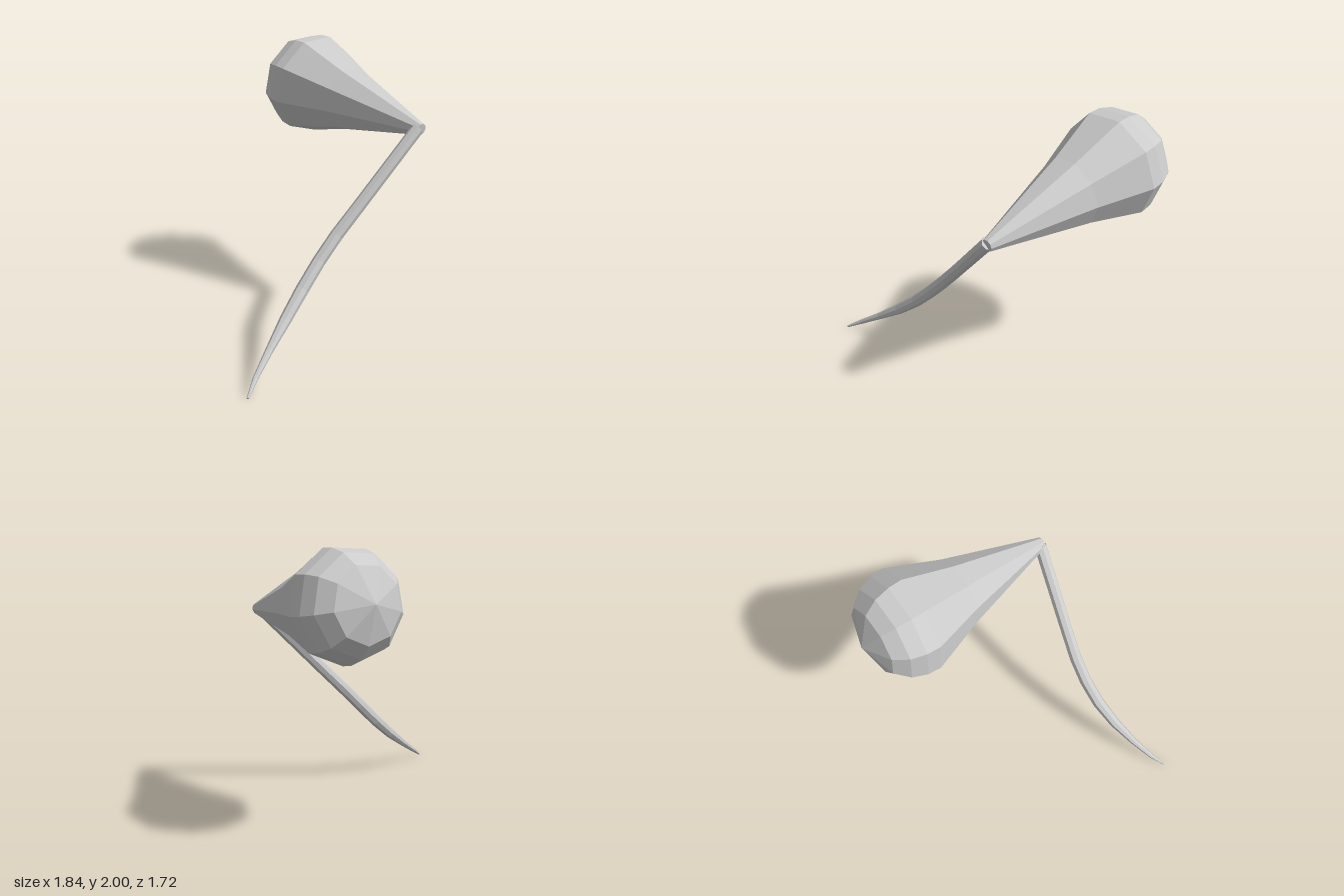
import * as THREE from 'three';

const V = (x, y, z) => new THREE.Vector3(x, y, z);

// Faceted loft: rings are [centre, radius]; both ends close to a point.
function loft(rings, sides, ref, phase) {
  const n = rings.length;
  const pos = [];
  const index = [];
  const add = (p) => pos.push(p.x, p.y, p.z);
  rings.forEach(([c, r], i) => {
    const t = rings[Math.min(i + 1, n - 1)][0].clone().sub(rings[Math.max(i - 1, 0)][0]).normalize();
    const u = ref.clone().addScaledVector(t, -ref.dot(t)).normalize();
    const v = t.clone().cross(u);
    for (let j = 0; j < sides; j++) {
      const a = phase + (j / sides) * Math.PI * 2;
      add(c.clone().addScaledVector(u, r * Math.cos(a)).addScaledVector(v, r * Math.sin(a)));
    }
  });
  for (let i = 0; i < n - 1; i++) {
    for (let j = 0; j < sides; j++) {
      const k = (j + 1) % sides;
      const a = i * sides + j, b = i * sides + k;
      index.push(a, b, b + sides, a, b + sides, a + sides);
    }
  }
  // end caps
  const last = (n - 1) * sides;
  add(rings[0][0]);
  add(rings[n - 1][0]);
  for (let j = 0; j < sides; j++) {
    const k = (j + 1) % sides;
    index.push(n * sides, k, j, n * sides + 1, last + j, last + k);
  }
  const geo = new THREE.BufferGeometry();
  geo.setAttribute('position', new THREE.Float32BufferAttribute(pos, 3));
  geo.setIndex(index);
  geo.computeVertexNormals();
  return geo;
}

export function createModel() {
  const group = new THREE.Group();
  const mat = new THREE.MeshStandardMaterial({ color: 0xcccccc, flatShading: true });
  const part = (name, geo) => {
    const mesh = new THREE.Mesh(geo, mat);
    mesh.name = name;
    group.add(mesh);
  };

  // pear-shaped bulb: [fraction along the axis, radius]
  const base = V(0.655, 1.47, 0.61);
  const tip = V(0.5, 1.69, -0.86);
  const profile = [
    [0, 0.042], [0.49, 0.245], [0.75, 0.38], [0.815, 0.373],
    [0.885, 0.335], [0.945, 0.25], [1, 0.002],
  ];
  part('bulb', loft(
    profile.map(([f, r]) => [base.clone().lerp(tip, f), r]),
    9, V(0, 1, 0), THREE.MathUtils.degToRad(15),
  ));

  // curved stem tapering to a point
  const stem = [
    [-0.92, 0.012, 0.857, 0.008], [-0.82, 0.085, 0.785, 0.018],
    [-0.66, 0.2, 0.7, 0.027], [-0.48, 0.34, 0.62, 0.041],
    [-0.31, 0.49, 0.563, 0.046], [-0.15, 0.65, 0.533, 0.046],
    [0, 0.805, 0.527, 0.046], [0.17, 0.98, 0.542, 0.045],
    [0.64, 1.475, 0.588, 0.045],
  ];
  part('stem', loft(stem.map(([x, y, z, r]) => [V(x, y, z), r]), 8, V(0, 0, 1), 0));

  return group;
}
